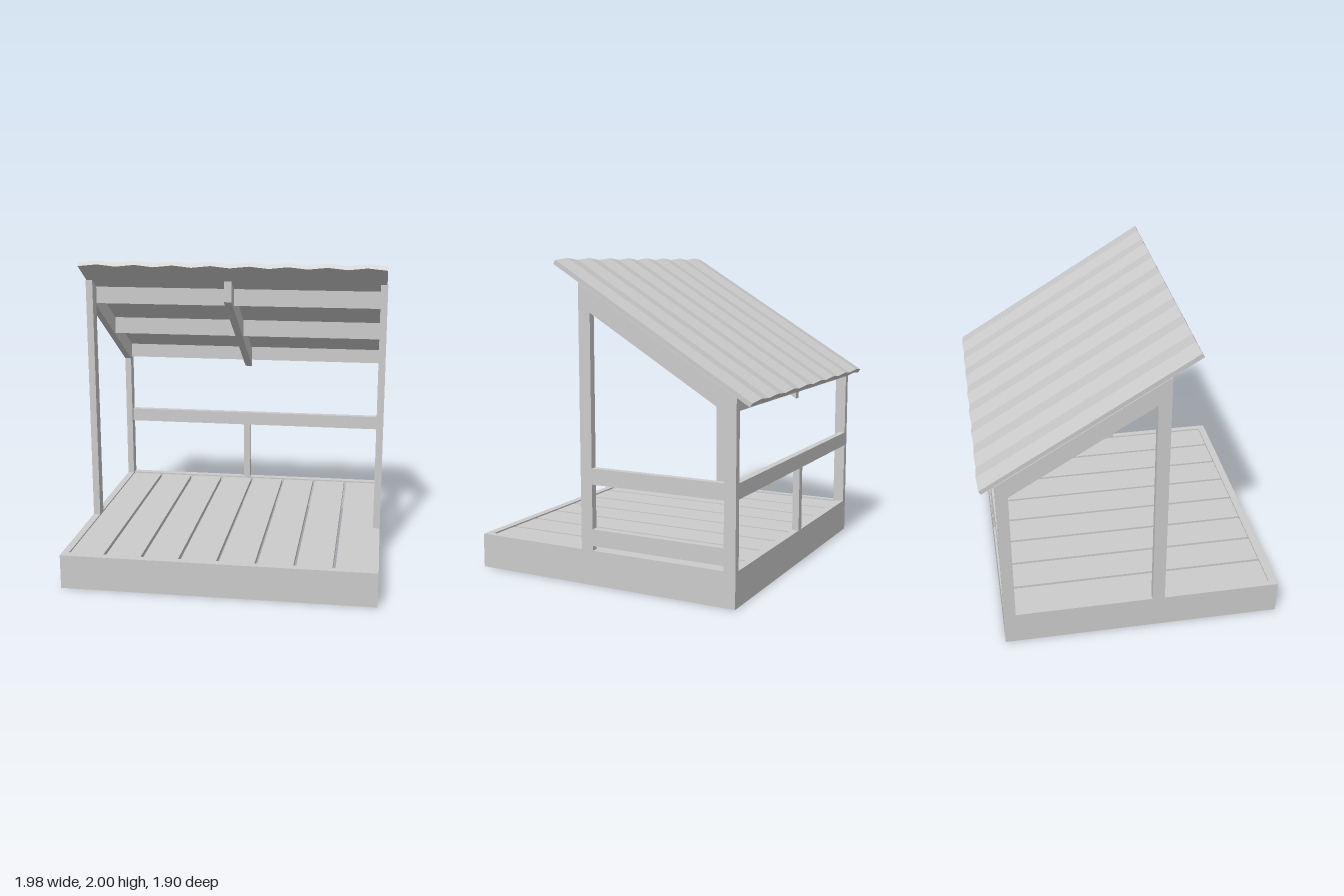
import * as THREE from 'three';

const T = 0.045;      // timber thickness
const W = 0.99;       // half width of the shelter
const SLOPE = 0.606;  // roof rise per unit of depth
const roofLine = (z) => 1.215 + SLOPE * (z + 0.95);

export function createModel() {
  const group = new THREE.Group();
  const grey = new THREE.MeshStandardMaterial({ color: 0xcccccc, flatShading: true });

  const add = (name, geometry) => {
    const mesh = new THREE.Mesh(geometry, grey);
    mesh.name = name;
    group.add(mesh);
    return mesh;
  };

  // Box given by its limits on each axis
  const box = (name, x0, x1, y0, y1, z0, z1) => {
    const g = new THREE.BoxGeometry(x1 - x0, y1 - y0, z1 - z0);
    g.translate((x0 + x1) / 2, (y0 + y1) / 2, (z0 + z1) / 2);
    return add(name, g);
  };

  // Timber whose top (and bottom, if a function) follows the roof slope
  const slopedTimber = (name, x0, x1, z0, z1, bottom, topGap = 0.05) => {
    const low = typeof bottom === 'function' ? bottom : () => bottom;
    const shape = new THREE.Shape([
      new THREE.Vector2(-z0, low(z0)),
      new THREE.Vector2(-z0, roofLine(z0) - topGap),
      new THREE.Vector2(-z1, roofLine(z1) - topGap),
      new THREE.Vector2(-z1, low(z1)),
    ]);
    const g = new THREE.ExtrudeGeometry(shape, { depth: x1 - x0, bevelEnabled: false });
    g.rotateY(Math.PI / 2);
    g.translate(x0, 0, 0);
    return add(name, g);
  };

  // Deck frame
  box('deckFrameFront', -W, W, 0, 0.22, 0.9, 0.95);
  box('deckFrameBack', -W, W, 0, 0.22, -0.85, -0.8);
  for (const s of [-1, 1]) {
    const x = s * (W - T / 2);
    box(s > 0 ? 'deckFrameLeft' : 'deckFrameRight', x - T / 2, x + T / 2, 0, 0.22, -0.8, 0.9);
  }

  // Deck planks with narrow gaps
  for (let i = 0; i < 8; i++) {
    const x0 = i === 0 ? -W + T : -0.95 + i * 0.24 - 0.01 + 0.01 - 0.01 + 0.01;
    const left = i === 0 ? x0 : (i - 4) * 0.24 + 0.009;
    const right = i === 7 ? W - T : (i - 3) * 0.24 - 0.009;
    box('deckPlank', left, right, 0.18, 0.21, -0.8, 0.9);
  }

  // Corner posts and side rafters
  for (const s of [-1, 1]) {
    const x0 = s > 0 ? W - T : -W;
    const side = s > 0 ? 'Left' : 'Right';
    slopedTimber('frontPost' + side, x0, x0 + T, 0.11, 0.19, 0.22);
    slopedTimber('backPost' + side, x0, x0 + T, -0.85, -0.775, 0.22);
    slopedTimber('sideRafter' + side, x0, x0 + T, -0.775, 0.11, (z) => roofLine(z) - 0.18);
  }

  // Middle rafter, reaching past the front posts
  slopedTimber('middleRafter', -0.06, -0.01, -0.82, 0.22, (z) => roofLine(z) - 0.194, 0.06);

  // Cross beams under the roof
  for (const [z, bottom] of [[0.1, 1.69], [-0.355, 1.41], [-0.81, 1.15]]) {
    slopedTimber('crossBeam', -W + T, W - T, z - 0.04, z, bottom);
  }

  // Back rail with its short post
  box('backRail', -W + T, W - T, 0.64, 0.735, -0.85, -0.805);
  box('backRailPost', -0.07, -0.02, 0.22, 0.64, -0.85, -0.805);

  // Rails on the left side only
  box('sideRailUpper', W - T, W, 0.635, 0.735, -0.775, 0.11);
  box('sideRailLower', W - T, W, 0.25, 0.355, -0.775, 0.11);

  // Corrugated roof sheet: wavy section swept up the slope
  const waves = 8, steps = waves * 4, half = 0.985, thick = 0.028;
  const top = [], under = [];
  for (let i = 0; i <= steps; i++) {
    const x = -half + (2 * half * i) / steps;
    const y = -0.007 - 0.007 * Math.cos((i / steps) * waves * Math.PI * 2);
    top.push(new THREE.Vector2(x, y));
    under.unshift(new THREE.Vector2(x, y - thick));
  }
  const sheet = new THREE.ExtrudeGeometry(new THREE.Shape([...top, ...under]), {
    depth: 1.515, bevelEnabled: false,
  });
  const roof = add('roofSheet', sheet);
  roof.rotation.x = -Math.atan(SLOPE);
  roof.position.set(0, 1.215, -0.95);

  return group;
}
